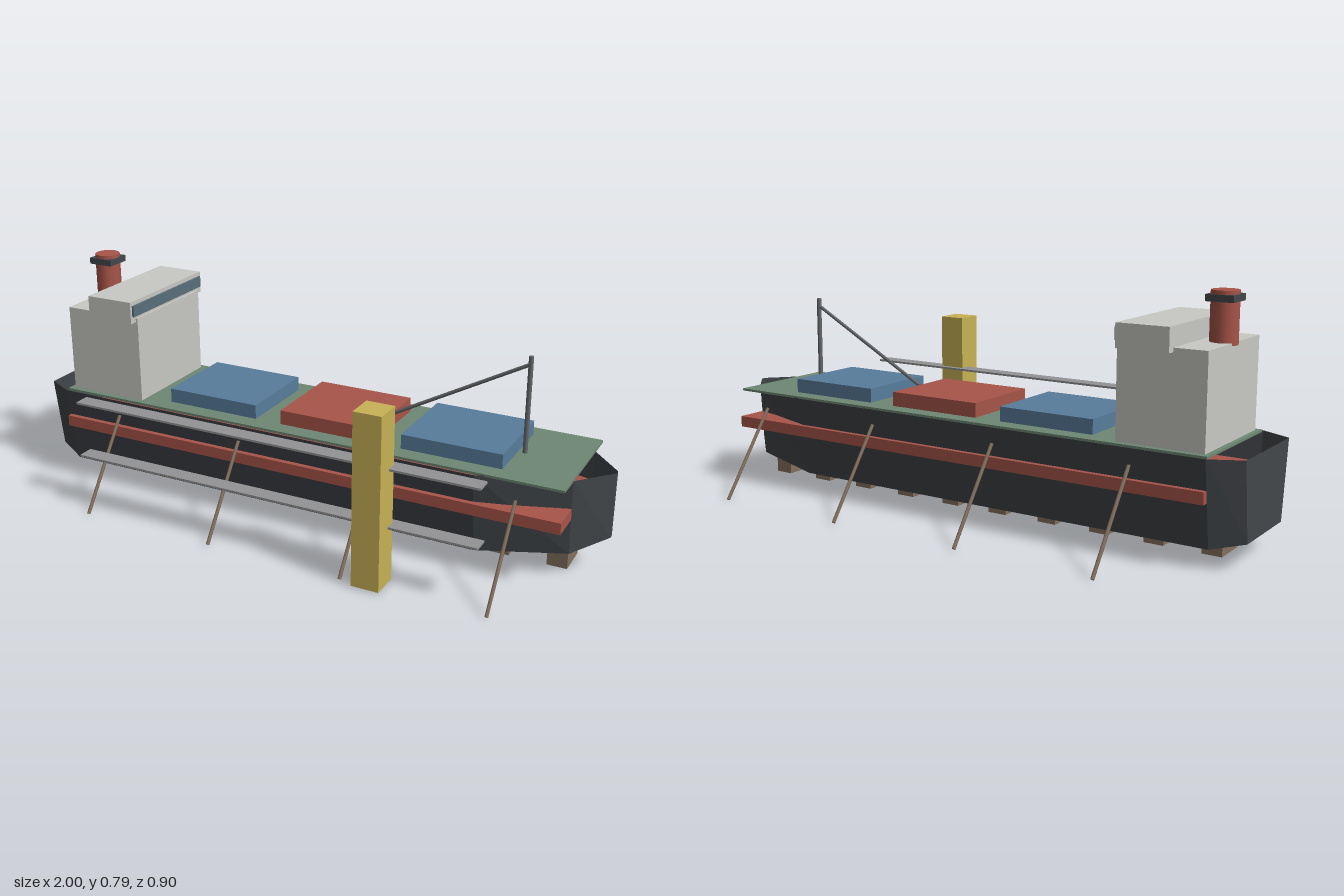
import * as THREE from 'three';

const CZ = -0.008; // centre line of the ship

const mat = (name, color, opts = {}) => {
  const m = new THREE.MeshStandardMaterial({ color, ...opts });
  m.name = name;
  return m;
};

export function createModel() {
  const model = new THREE.Group();
  model.name = 'shipInDryDock';

  const hullPaint = mat('hullCharcoal', 0x43474b, { side: THREE.DoubleSide, flatShading: true });
  const deckPaint = mat('deckGreen', 0x6f8874);
  const red = mat('rustRed', 0xa8554a);
  const blue = mat('hatchBlue', 0x587d9c);
  const white = mat('cabinWhite', 0xc9c9c4);
  const glass = mat('windowSlate', 0x5a6f7a);
  const steel = mat('walkwayGrey', 0x949496);
  const spar = mat('mastGrey', 0x66696c);
  const yellow = mat('towerYellow', 0xc9b356);
  const timber = mat('timberBrown', 0x82705f);

  const add = (name, geo, material) => {
    const mesh = new THREE.Mesh(geo, material);
    mesh.name = name;
    model.add(mesh);
    return mesh;
  };
  // Box given by its limits on each axis
  const box = (name, material, [x0, x1], [y0, y1], [z0, z1]) => {
    const mesh = add(name, new THREE.BoxGeometry(x1 - x0, y1 - y0, z1 - z0), material);
    mesh.position.set((x0 + x1) / 2, (y0 + y1) / 2, (z0 + z1) / 2);
    return mesh;
  };
  const across = (half) => [CZ - half, CZ + half];
  // Round bar between two points
  const bar = (name, material, a, b, r, sides = 8) => {
    const p = new THREE.Vector3(...a), q = new THREE.Vector3(...b);
    const dir = q.clone().sub(p);
    const mesh = add(name, new THREE.CylinderGeometry(r, r, dir.length(), sides), material);
    mesh.position.copy(p).add(q).multiplyScalar(0.5);
    mesh.quaternion.setFromUnitVectors(new THREE.Vector3(0, 1, 0), dir.normalize());
    return mesh;
  };

  // Open-topped hull: x, half width at rim, half width at bottom, bottom height
  const stations = [
    [-1.0, 0.167, 0.132, 0.085],
    [-0.9, 0.218, 0.175, 0.0625],
    [0.62, 0.218, 0.175, 0.0625],
    [0.9, 0.12, 0.102, 0.085],
    [1.0, 0.008, 0.008, 0.12],
  ].map(([x, top, bottom, y]) => [
    [x, 0.338, CZ + top], [x, y, CZ + bottom], [x, y, CZ - bottom], [x, 0.338, CZ - top],
  ]);
  const pos = [];
  const quad = (a, b, c, d) => pos.push(...a, ...b, ...c, ...a, ...c, ...d);
  for (let i = 0; i < stations.length - 1; i++) {
    const s = stations[i], t = stations[i + 1];
    for (let k = 0; k < 3; k++) quad(s[k], s[k + 1], t[k + 1], t[k]);
  }
  const [transom, stem] = [stations[0], stations[stations.length - 1]];
  quad(transom[3], transom[2], transom[1], transom[0]);
  quad(stem[0], stem[1], stem[2], stem[3]);
  // Flip the side strips so that every face looks outward
  const sideCount = (stations.length - 1) * 3 * 18;
  for (let i = 0; i < pos.length; i += 9) {
    const v = [0, 3, 6].map((o) => new THREE.Vector3(pos[i + o], pos[i + o + 1], pos[i + o + 2]));
    const n = v[1].clone().sub(v[0]).cross(v[2].clone().sub(v[0]));
    const mid = v[0].clone().add(v[1]).add(v[2]).divideScalar(3);
    const out = i < sideCount
      ? new THREE.Vector3(0, mid.y - 0.2, mid.z - CZ)
      : new THREE.Vector3(mid.x, 0, 0);
    if (n.dot(out) < 0) {
      pos.splice(i + 3, 6, ...v[2].toArray(), ...v[1].toArray());
    }
  }
  const hullGeo = new THREE.BufferGeometry();
  hullGeo.setAttribute('position', new THREE.Float32BufferAttribute(pos, 3));
  hullGeo.computeVertexNormals();
  add('hull', hullGeo, hullPaint);

  // Deck and full-width rubbing strake
  box('deck', deckPaint, [-0.9, 0.9], [0.335, 0.343], across(0.207));
  box('strake', red, [-0.9, 0.9], [0.205, 0.243], across(0.221));

  // Cargo hatches
  [-0.337, 0.091, 0.521].forEach((x, i) =>
    box('hatch', i === 1 ? red : blue, [x - 0.167, x + 0.167], [0.341, 0.391], across(0.149)));

  // Superstructure, bridge and window band
  box('superstructure', white, [-0.885, -0.6], [0.34, 0.638], across(0.187));
  box('bridge', white, [-0.778, -0.607], [0.625, 0.7], across(0.214));
  box('bridgeWindow', glass, [-0.609, -0.6], [0.648, 0.686], across(0.205));

  // Funnel with its band
  bar('funnel', red, [-0.85, 0.63, CZ], [-0.85, 0.79, CZ], 0.043, 12);
  box('funnelBand', hullPaint, [-0.894, -0.806], [0.757, 0.778], across(0.044));

  // Mast and derrick boom
  bar('mast', spar, [0.71, 0.34, CZ], [0.71, 0.661, CZ], 0.008);
  bar('boom', spar, [0.71, 0.635, CZ], [0.26, 0.39, CZ], 0.006);

  // Dock walkways and yellow tower
  for (const y of [0.196, 0.387]) {
    box('walkway', steel, [-0.714, 0.71], [y - 0.0035, y + 0.0035], [0.335, 0.39]);
  }
  box('tower', yellow, [0.333, 0.425], [0.005, 0.577], [0.354, 0.448]);

  // Shoring props on both sides
  for (let i = 0; i < 4; i++) {
    const x = -0.668 + i * 0.476;
    for (const s of [-1, 1]) {
      bar('prop', timber, [x, 0.29, CZ + s * 0.228], [x, 0.004, CZ + s * 0.435], 0.0058, 6);
    }
  }

  // Keel blocks
  for (let i = 0; i < 10; i++) {
    const x = -0.861 + i * 0.1905;
    box('keelBlock', timber, [x - 0.033, x + 0.033], [0.005, 0.0625], across(0.0565));
  }

  return model;
}
